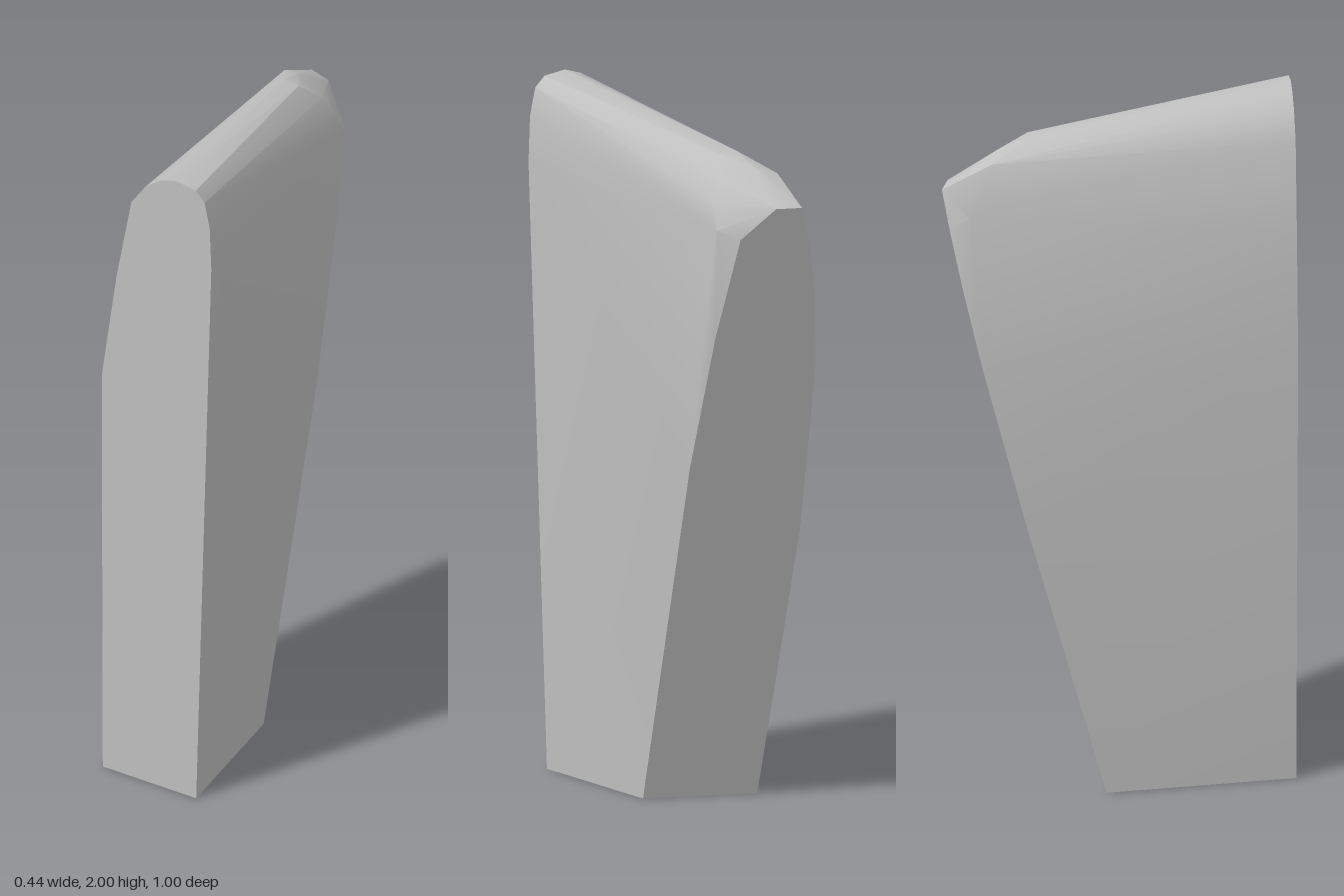
import * as THREE from 'three';
import { ConvexGeometry } from 'three/addons/geometries/ConvexGeometry.js';
import { toCreasedNormals } from 'three/addons/utils/BufferGeometryUtils.js';

// Front outline, x and y, in an almost upright plane
const frontOutline = [
  [-0.15, 0], [-0.15, 1.28], [-0.1, 1.62], [-0.05, 1.88], [0, 1.95], [0.05, 1.985], [0.1, 2],
  [0.165, 1.99], [0.195, 1.96], [0.212, 1.88], [0.217, 1.75], [0.162, 0],
];

// Back outline, x and y, in a slanted plane that overhangs towards the top
const backOutline = [
  [-0.21, 0], [-0.222, 0.8], [-0.2, 1.3], [-0.17, 1.52], [-0.135, 1.68], [-0.1, 1.79],
  [-0.03, 1.79], [0.055, 1.7], [0.085, 1.4], [0.103, 1.0], [0.1, 0],
];

// Shoulder corners that chamfer the top and left edges into the back
const shoulder = [
  [-0.1, 1.86, -0.36], [-0.04, 1.88, -0.34], [-0.03, 1.91, -0.25], [0.02, 1.905, -0.25],
  [0.06, 1.85, -0.31], [0.09, 1.79, -0.33], [0.1, 1.72, -0.37], [-0.15, 1.72, -0.43],
];

const frontZ = (x, y) => 0.488 + 0.004 * y;
const backZ = (x, y) => 0.018 + 0.32 * x - 0.272 * y;

function createModel() {
  const stone = new THREE.MeshStandardMaterial({ color: 0xc0c0c0 });
  stone.name = 'pale grey';

  const lift = (outline, z) => outline.map(([x, y]) => new THREE.Vector3(x, y, z(x, y)));
  const points = [
    ...lift(frontOutline, frontZ),
    ...lift(backOutline, backZ),
    ...shoulder.map((p) => new THREE.Vector3(...p)),
  ];

  // Solid wedge between the two outlines, rounded over the top
  const slab = new THREE.Mesh(toCreasedNormals(new ConvexGeometry(points), 0.45), stone);
  slab.name = 'slab';

  const group = new THREE.Group();
  group.name = 'roundedWedge';
  group.add(slab);
  return group;
}

export { createModel };
